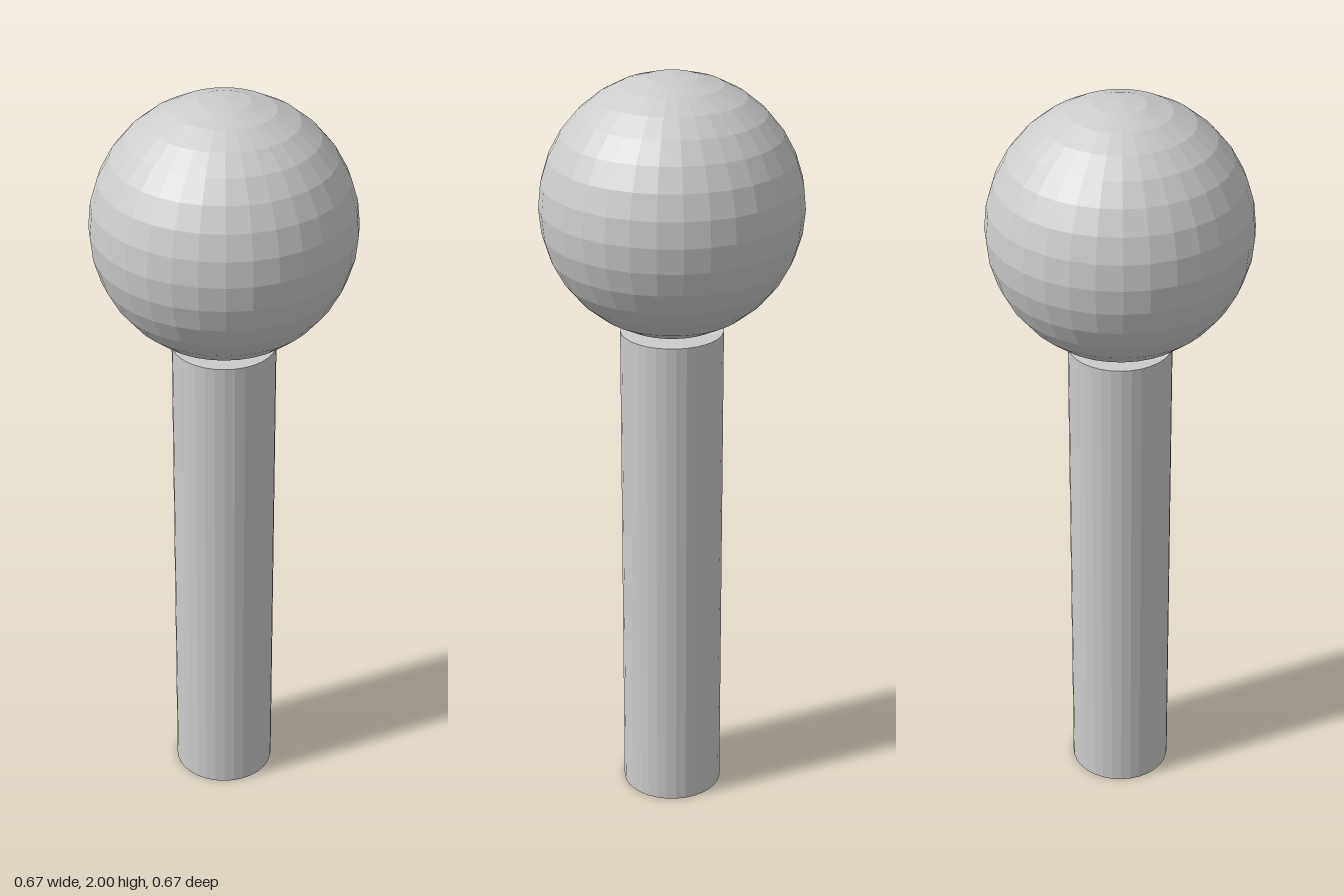
import * as THREE from 'three';

const SIDES = 32;
const BALL_RADIUS = 1 / 3;
const POST_RADIUS = 0.133;
const POST_HEIGHT = 4 / 3;

export function createModel() {
  const group = new THREE.Group();
  const material = new THREE.MeshStandardMaterial({ color: 0xcccccc, flatShading: true });

  const add = (name, geometry, y) => {
    const mesh = new THREE.Mesh(geometry, material);
    mesh.name = name;
    mesh.position.y = y;
    group.add(mesh);
  };

  // Upright post standing on the ground
  add('post', new THREE.CylinderGeometry(POST_RADIUS, POST_RADIUS, POST_HEIGHT, SIDES), POST_HEIGHT / 2);

  // Faceted ball resting on the post
  add('ball', new THREE.SphereGeometry(BALL_RADIUS, SIDES, SIDES / 2), POST_HEIGHT + BALL_RADIUS);

  return group;
}
